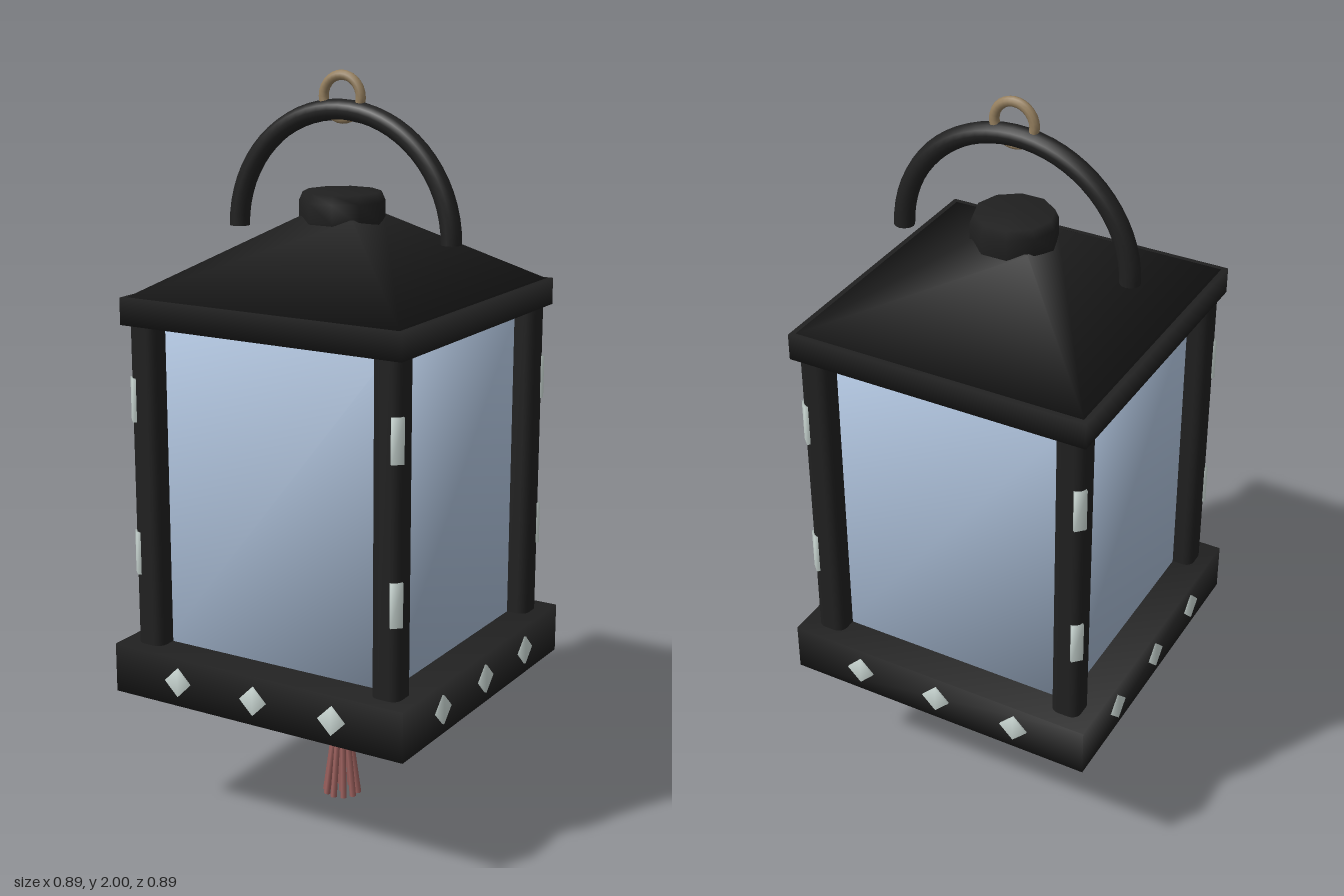
import * as THREE from 'three';
import { mergeVertices } from 'three/addons/utils/BufferGeometryUtils.js';
import { RoundedBoxGeometry } from 'three/addons/geometries/RoundedBoxGeometry.js';

const material = (name, color) => {
  const m = new THREE.MeshStandardMaterial({ color });
  m.name = name;
  return m;
};

// Share corners so the shading rolls softly over the edges.
const soften = (geometry) => {
  geometry.deleteAttribute('uv');
  geometry.deleteAttribute('normal');
  const merged = mergeVertices(geometry, 1e-4);
  merged.computeVertexNormals();
  return merged;
};
const softBox = (w, h, d) => soften(new THREE.BoxGeometry(w, h, d));

export function createModel() {
  const iron = material('black iron', 0x202020);
  const paper = material('pale blue glass', 0xb0c4de);
  const silver = material('silver', 0xcfdcd8);
  const brass = material('brass', 0x96805f);
  const cordRed = material('dusty red cord', 0x9a5f5c);

  const lantern = new THREE.Group();
  lantern.name = 'lantern';
  const add = (name, geometry, mat, x = 0, y = 0, z = 0, parent = lantern) => {
    const mesh = new THREE.Mesh(geometry, mat);
    mesh.name = name;
    mesh.position.set(x, y, z);
    parent.add(mesh);
    return mesh;
  };

  // Body
  add('base', softBox(0.88, 0.135, 0.88), iron, 0, 0.4375, 0);
  add('glass', softBox(0.69, 0.88, 0.69), paper, 0, 0.935, 0);
  add('eave', softBox(0.824, 0.071, 0.824), iron, 0, 1.4055, 0);

  // Roof: square frustum with a low rounded cap
  const roof = new THREE.CylinderGeometry(0.08 * Math.SQRT2, 0.4 * Math.SQRT2, 0.192, 4);
  roof.rotateY(Math.PI / 4);
  add('roof', soften(roof), iron, 0, 1.536, 0);
  const capProfile = [[0, 1.6], [0.105, 1.6], [0.112, 1.62], [0.112, 1.67], [0.102, 1.693], [0, 1.695]];
  const cap = new THREE.LatheGeometry(capProfile.map(([r, y]) => new THREE.Vector2(r, y)), 10, Math.PI / 10);
  add('roofCap', cap, iron);

  // Corner posts, each with two studs on its outer corner
  const postGeometry = new RoundedBoxGeometry(0.08, 0.95, 0.08, 3, 0.025);
  const postStud = softBox(0.032, 0.116, 0.02);
  for (const sx of [-1, 1]) {
    for (const sz of [-1, 1]) {
      add('cornerPost', postGeometry, iron, sx * 0.36, 0.935, sz * 0.36);
      for (const y of [0.758, 1.173]) {
        const stud = add('postStud', postStud, silver, sx * 0.388, y, sz * 0.388);
        stud.rotation.y = Math.atan2(sx, sz);
      }
    }
  }

  // Diamond studs around the base
  const diamond = softBox(0.056, 0.056, 0.02);
  diamond.rotateZ(Math.PI / 4);
  for (let side = 0; side < 4; side++) {
    const row = new THREE.Group();
    row.name = 'baseStuds';
    row.rotation.y = side * Math.PI / 2;
    lantern.add(row);
    for (const x of [-0.236, 0, 0.236]) add('baseStud', diamond, silver, x, 0.438, 0.436, row);
  }

  // Arched handle with closed ends, and the hanging ring
  add('handle', new THREE.TorusGeometry(0.32, 0.027, 12, 32, Math.PI), iron, 0, 1.58, 0);
  for (const sx of [-1, 1]) {
    add('handleEnd', new THREE.CircleGeometry(0.027, 12), iron, sx * 0.32, 1.58, 0).rotation.x = Math.PI / 2;
  }
  add('hangingRing', new THREE.TorusGeometry(0.055, 0.013, 10, 28), brass, 0, 1.932, 0);

  // Tassel: cord, collar and splayed strands
  add('tasselCord', new THREE.CylinderGeometry(0.018, 0.018, 0.17, 10), cordRed, 0, 0.315, 0);
  const collarProfile = [[0, 0.234], [0.031, 0.234], [0.037, 0.243], [0.037, 0.265], [0.031, 0.274], [0, 0.274]];
  add('tasselCollar', new THREE.LatheGeometry(collarProfile.map(([r, y]) => new THREE.Vector2(r, y)), 16), brass);
  const strand = (angle, spread) => {
    const top = new THREE.Vector3(Math.sin(angle), 0, Math.cos(angle)).multiplyScalar(spread * 0.3).setY(0.25);
    const end = new THREE.Vector3(Math.sin(angle), 0, Math.cos(angle)).multiplyScalar(spread).setY(0.003);
    const length = top.distanceTo(end);
    const mesh = add('tasselStrand', new THREE.CylinderGeometry(0.007, 0.009, length, 6), cordRed);
    mesh.position.copy(top).lerp(end, 0.5);
    mesh.quaternion.setFromUnitVectors(new THREE.Vector3(0, 1, 0), top.clone().sub(end).normalize());
  };
  strand(0, 0);
  for (let i = 0; i < 10; i++) strand(i * Math.PI / 5, 0.046);

  return lantern;
}
